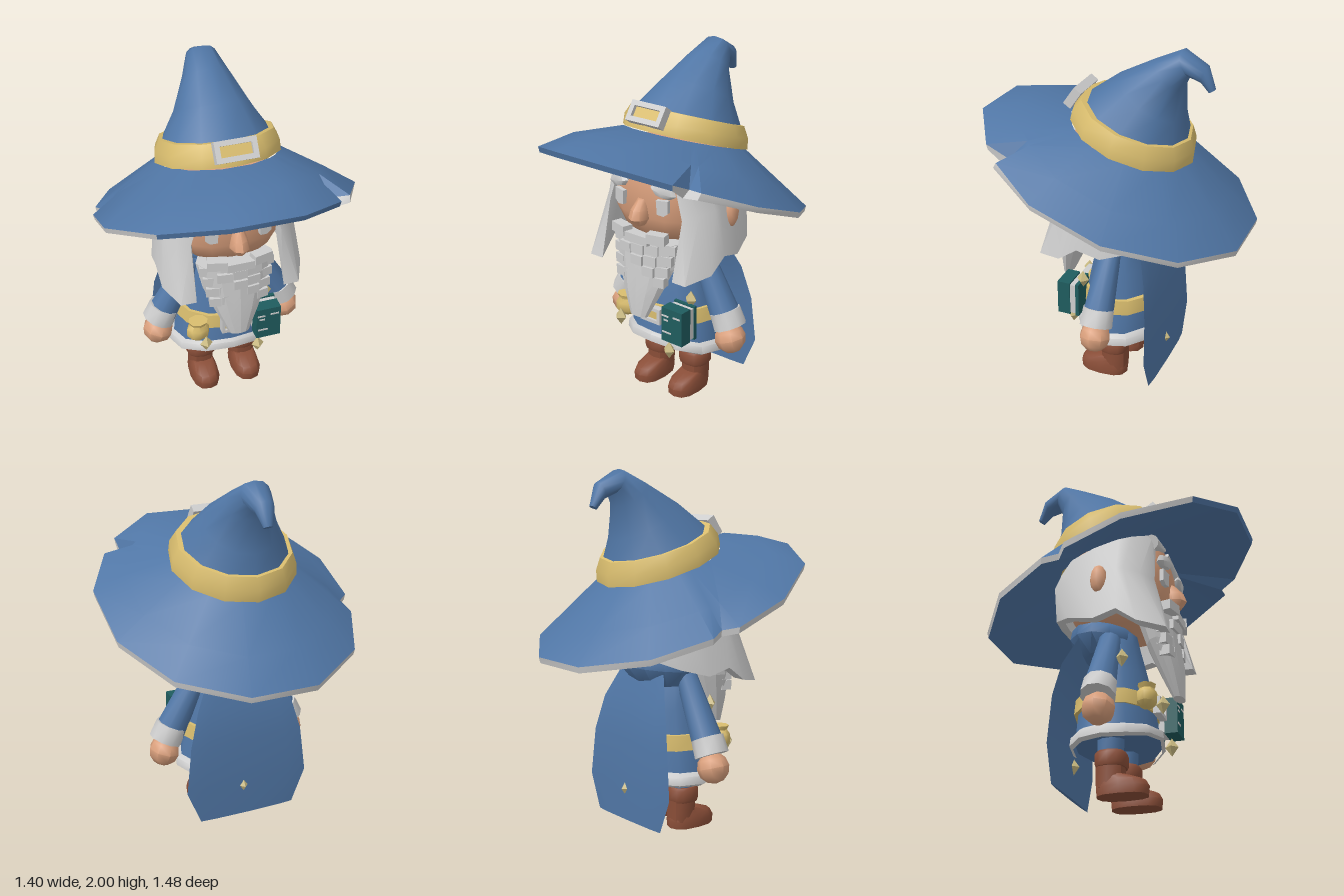
import * as THREE from 'three';
import { toCreasedNormals } from 'three/addons/utils/BufferGeometryUtils.js';

const V = (x, y, z) => new THREE.Vector3(x, y, z);

// Elliptical cross-section, counter-clockwise from above, starting at the front
function ring(y, hx, cz, dz, { tilt = 0, cx = 0, n = 12, p = 1, lift = 0 } = {}) {
  const pow = (v) => Math.sign(v) * Math.abs(v) ** p;
  return Array.from({ length: n }, (_, i) => {
    const a = (i / n) * Math.PI * 2, s = Math.sin(a), c = Math.cos(a);
    return V(cx + hx * pow(s), y + tilt * c + lift * Math.max(0, c) ** 3, cz + dz * pow(c));
  });
}

// Skin stacked cross-sections
function loft(rings, { caps = true, open = false, crease = 0.6 } = {}) {
  const n = rings[0].length, pos = [], idx = [];
  rings.flat().forEach((v) => pos.push(v.x, v.y, v.z));
  for (let i = 0; i < rings.length - 1; i++)
    for (let j = 0; j < (open ? n - 1 : n); j++) {
      const k = (j + 1) % n, a = i * n + j, b = i * n + k;
      idx.push(a, b, b + n, a, b + n, a + n);
    }
  if (caps) [0, rings.length - 1].forEach((r, top) => {
    const c = rings[r].reduce((s, v) => s.add(v), V(0, 0, 0)).divideScalar(n), m = pos.length / 3;
    pos.push(c.x, c.y, c.z);
    for (let j = 0; j < n; j++) {
      const a = r * n + j, b = r * n + (j + 1) % n;
      idx.push(m, top ? a : b, top ? b : a);
    }
  });
  const g = new THREE.BufferGeometry();
  g.setAttribute('position', new THREE.Float32BufferAttribute(pos, 3));
  g.setIndex(idx);
  return toCreasedNormals(g, crease);
}

export function createModel() {
  const model = new THREE.Group();
  const mat = (name, color) => Object.assign(new THREE.MeshStandardMaterial({ color }), { name });
  const blue = mat('blue cloth', 0x5076a5), gold = mat('gold', 0xd9bd6e), white = mat('white hair', 0xcdcdcd);
  const skin = mat('skin', 0xd99f7c), brown = mat('brown leather', 0x8a4e38), teal = mat('teal cover', 0x1f5c5e);
  const pale = mat('pale gold', 0xcbbb82);

  function add(name, geo, material, x = 0, y = 0, z = 0, parent = model) {
    const m = new THREE.Mesh(geo, material);
    m.name = name;
    m.position.set(x, y, z);
    parent.add(m);
    return m;
  }
  const box = (name, w, h, d, material, x, y, z, parent) =>
    add(name, new THREE.BoxGeometry(w, h, d), material, x, y, z, parent);
  // Tapered cylinder between two points
  function limb(name, a, b, ra, rb, material) {
    const d = b.clone().sub(a);
    const g = toCreasedNormals(new THREE.CylinderGeometry(rb, ra, d.length(), 10), 0.8);
    const m = add(name, g, material, ...a.clone().add(b).multiplyScalar(0.5).toArray());
    m.quaternion.setFromUnitVectors(V(0, 1, 0), d.normalize());
  }
  // Rectangular buckle frame with a plate
  function buckle(name, w, h, t, depth, x, y, z, tilt) {
    const g = new THREE.Group();
    g.name = name;
    g.position.set(x, y, z);
    g.rotation.x = tilt;
    for (const s of [-1, 1]) {
      box('buckleSide', t, h, depth, white, s * (w - t) / 2, 0, 0, g);
      box('buckleBar', w, t, depth, white, 0, s * (h - t) / 2, 0, g);
    }
    box('bucklePlate', w - t, h - t, depth * 0.4, gold, 0, 0, -depth * 0.1, g);
    model.add(g);
  }

  // Hat brim: notched, tilted back, with a pale trim on the sides and rear
  const outline = [[.19, .74], [.45, .58], [.45, .45], [.545, .475], [.7, .21], [.7, -.18], [.52, -.53], [.19, -.74],
    [-.19, -.74], [-.52, -.53], [-.66, -.24], [-.625, -.155], [-.7, -.1], [-.7, .21], [-.51, .55], [-.19, .73]];
  const height = (z) => 1.25 + .385 * z + .075 * z * z;
  const rim = outline.map(([x, z]) => V(x, height(z), z));
  const rimLow = rim.map((v, i) => V(v.x * .99, v.y - .033, i === 2 || i === 3 ? .495 : v.z * .99));
  const tilted = (y, r, cz, tilt) => outline.map(([x, z]) => {
    const a = Math.atan2(x, z);
    return V(r * Math.sin(a), y + tilt * Math.cos(a), cz + r * Math.cos(a));
  });
  const inner = tilted(1.49, .335, -.07, .11);
  // Middle ring ignores the notches so the surface stays straight
  const mid = outline.map(([x, z], i) => {
    const k = Math.max(1, .715 / Math.hypot(x, z));
    return V(x * k, height(z * k), z * k).lerp(inner[i], .42).add(V(0, .055 * Math.max(0, z), 0));
  });
  add('brimTop', loft([rim, mid, inner], { caps: false }), blue);
  add('brimUnderside', loft([tilted(1.38, .31, -.065, .09), rimLow], { caps: false }), blue);
  add('brimTrim', loft([rimLow.slice(1, 15), rim.slice(1, 15)], { caps: false, open: true }), white);
  const frontEdge = (r) => [r[14], r[15], r[0], r[1]];
  add('brimFrontEdge', loft([frontEdge(rimLow), frontEdge(rim)], { caps: false, open: true }), blue);

  // Crown: front z,y / back z,y / half width
  const crown = [[.19, 1.69, -.39, 1.47, .31], [0, 1.83, -.365, 1.62, .21], [-.2, 1.935, -.36, 1.8, .13],
    [-.34, 2, -.39, 1.87, .085], [-.48, 1.93, -.45, 1.84, .055], [-.525, 1.81, -.49, 1.79, .025]];
  add('hatCrown', loft(crown.map(([zf, yf, zb, yb, hx], i) =>
    ring((yf + yb) / 2, hx, (zf + zb) / 2, (zf - zb) / 2, { tilt: (yf - yb) / 2, p: i === 3 ? .75 : 1 })),
  { crease: 1 }), blue);
  add('hatBand', loft([ring(1.49, .35, -.075, .34, { tilt: .115 }), ring(1.55, .347, -.085, .335, { tilt: .112 }),
    ring(1.612, .317, -.1, .3, { tilt: .105 })], { crease: .9 }), gold);
  buckle('hatBuckle', .23, .115, .028, .05, 0, 1.685, .235, -.6);

  // Head and face
  const headRing = (y, hx, dz) => ring(y, hx, 0, dz, { n: 16, p: .75 });
  add('head', loft([headRing(.97, .18, .19), headRing(1.03, .26, .26), headRing(1.13, .305, .298),
    headRing(1.32, .3, .3), headRing(1.48, .23, .25)], { crease: 1 }), skin);
  add('nose', loft([ring(1.09, .03, .31, .04, { n: 8 }), ring(1.13, .056, .31, .07, { n: 8 }),
    ring(1.18, .045, .305, .058, { n: 8 }), ring(1.235, .025, .28, .035, { n: 8 })], { crease: .8 }), skin);
  for (const s of [-1, 1]) {
    const eyeShape = new THREE.Shape([[-.036, .04], [.036, .045], [.036, -.025], [.01, -.045], [-.03, -.04]]
      .map(([x, y]) => new THREE.Vector2(s * x, y)));
    const eye = new THREE.ExtrudeGeometry(eyeShape, { depth: .025, bevelEnabled: false });
    add('eye', eye, white, s * .145, 1.215, .28).rotation.y = s * .2;
    const brow = add('eyebrow', loft([ring(-.032, .05, 0, .02, { n: 8 }), ring(-.005, .08, 0, .032, { n: 8 }),
      ring(.03, .055, 0, .02, { n: 8 })], { crease: 1 }), white, s * .155, 1.312, .295);
    brow.rotation.set(0, s * .2, -s * .2);
    const ear = add('ear', new THREE.SphereGeometry(1, 8, 6), skin, s * .365, 1.15, -.02);
    ear.scale.set(.04, .085, .048);
    limb('fringe', V(s * .03, 1.462, .26), V(s * .23, 1.41, .24), .014, .045, white);
  }

  // Hair: closed sections swept round the back of the head, long locks at the front
  const hairHalf = [
    [[.22, 1.46, .25], [.32, 1.18, .2], [.34, .83, .345], .74],
    [[.29, 1.44, .15], [.365, 1.2, .12], [.405, .86, .2], .8],
    [[.31, 1.42, .08], [.37, 1.2, .08], [.41, .94, .09], .85],
    [[.32, 1.38, -.05], [.355, 1.2, -.05], [.4, .905, -.04], .85],
    [[.3, 1.33, -.2], [.335, 1.2, -.2], [.35, .95, -.2], .85],
    [[.21, 1.3, -.29], [.235, 1.2, -.32], [.22, 1, -.31], .85],
  ];
  const hairBack = [[0, 1.28, -.34], [0, 1.2, -.365], [0, 1.05, -.36], .85];
  const section = ([t, m, b, k], s) => {
    const o = [b, m, t].map(([x, y, z]) => V(s * x, y, z));
    const depth = k < .85 ? 1 : .87;
    return [...o, ...o.slice().reverse().map((v) => V(v.x * k, v.y, v.z * depth))];
  };
  add('hair', loft([...hairHalf.map((h) => section(h, -1)), section(hairBack, 1),
    ...hairHalf.slice().reverse().map((h) => section(h, 1))], { crease: .9 }), white);

  // Beard with stepped tufts, and moustache
  add('beard', loft([ring(.55, .06, .325, .03), ring(.7, .13, .29, .065), ring(.85, .19, .25, .09),
    ring(1, .22, .22, .11)], { crease: .1 }), white);
  for (let r = 0; r < 4; r++) {
    const w = .42 - r * .03, y = .97 - r * .055;
    for (let i = 0; i < 5; i++) {
      const jitter = ((i * 7 + r * 5) % 4) * .008, x = (i - 2) / 5 * w;
      box('beardTuft', w / 5, .055, .06, white, x, y - jitter, .295 + jitter - x * x * 1.4).rotation.y = x * 1.5;
    }
  }
  for (const s of [-1, 1]) {
    box('moustache', .11, .055, .06, white, s * .125, 1.04, .315).rotation.y = s * .25;
    box('moustacheInner', .08, .05, .06, white, s * .04, 1.015, .32);
  }

  // Robe, hem, belt, hood and cape
  add('robe', loft([ring(.3, .3, -.015, .23, { lift: .05 }), ring(.5, .262, -.02, .21), ring(.7, .21, -.02, .17),
    ring(.86, .18, -.02, .13), ring(.95, .13, -.02, .11)], { crease: 1 }), blue);
  add('robeHem', loft([ring(.275, .3, -.02, .235, { lift: .055 }), ring(.29, .322, -.02, .255, { lift: .05 }),
    ring(.335, .317, -.02, .25, { lift: .045 }), ring(.355, .285, -.02, .22, { lift: .04 })],
  { caps: false, crease: 1 }), white);
  add('belt', loft([ring(.475, .278, -.025, .232), ring(.56, .265, -.025, .225)]), gold);
  buckle('beltBuckle', .14, .095, .02, .04, 0, .51, .215, 0);
  add('hood', loft([ring(.82, .17, -.07, .13), ring(.91, .235, -.1, .19, { tilt: -.02 }),
    ring(.97, .22, -.1, .18, { tilt: -.02 }), ring(1, .16, -.08, .13)], { crease: .9 }), blue);
  add('cape', loft([[.055, .285, -.29], [.25, .365, -.29], [.52, .335, -.28], [.72, .28, -.25], [.9, .19, -.19]]
    .map(([y, hx, z]) => ring(y, hx, z, .009, { n: 8 }))), blue);

  // Arms, hands, legs and boots
  for (const s of [-1, 1]) {
    limb('sleeve', V(s * .17, .87, -.015), V(s * .36, .51, -.01), .06, .088, blue);
    limb('cuff', V(s * .345, .555, -.01), V(s * .385, .465, -.01), .09, .095, white);
    const hand = add('hand', toCreasedNormals(new THREE.SphereGeometry(1, 8, 6), .9), skin, s * .39, .395, -.005);
    hand.scale.set(.09, .088, .09);
    hand.rotation.z = s * .3;
    limb('trouserLeg', V(s * .13, .2, -.02), V(s * .13, .4, -.02), .07, .08, blue);
    const at = (y, hx, cz, dz) => ring(y, hx, cz, dz, { cx: s * .13, p: .78 });
    add('bootFoot', loft([at(0, .082, .045, .14), at(.045, .085, .045, .145), at(.08, .075, .04, .13),
      at(.11, .065, 0, .08)], { crease: .8 }), brown);
    add('bootShaft', loft([at(.04, .072, -.02, .075), at(.17, .076, -.02, .078)]), brown);
    add('bootCuff', loft([at(.155, .085, -.015, .08), at(.17, .09, -.015, .086), at(.225, .09, -.015, .086),
      at(.24, .08, -.015, .076)], { crease: .9 }), brown);
  }

  // Book and pouch hung on the belt
  const book = new THREE.Group();
  book.name = 'book';
  book.position.set(.195, .515, .215);
  model.add(book);
  box('bookFront', .145, .205, .075, teal, 0, 0, .0275, book);
  box('bookPages', .135, .185, .035, white, 0, 0, -.0275, book);
  box('bookBack', .145, .205, .02, teal, 0, 0, -.055, book);
  for (const [x, y, w] of [[-.045, .055, .045], [-.04, .03, .03], [-.035, -.045, .06], [.035, .06, .05]])
    box('coverMark', w, .01, .004, white, x, y, .066, book);
  add('pouch', loft([ring(.445, .035, .2, .03, { cx: -.205, n: 8 }), ring(.47, .065, .2, .055, { cx: -.205, n: 8 }),
    ring(.52, .065, .2, .055, { cx: -.205, n: 8 }), ring(.545, .045, .2, .04, { cx: -.205, n: 8 }),
    ring(.57, .058, .2, .05, { cx: -.205, n: 8 })], { crease: 1 }), gold);

  // Small diamond-shaped charms
  for (const [x, y, z] of [[-.26, .72, .08], [.22, .64, .14], [-.18, .46, .28], [.145, .335, .24], [.025, .235, -.285]])
    add('diamondCharm', new THREE.OctahedronGeometry(.052), pale, x, y, z).scale.set(.72, 1, .72);

  return model;
}
